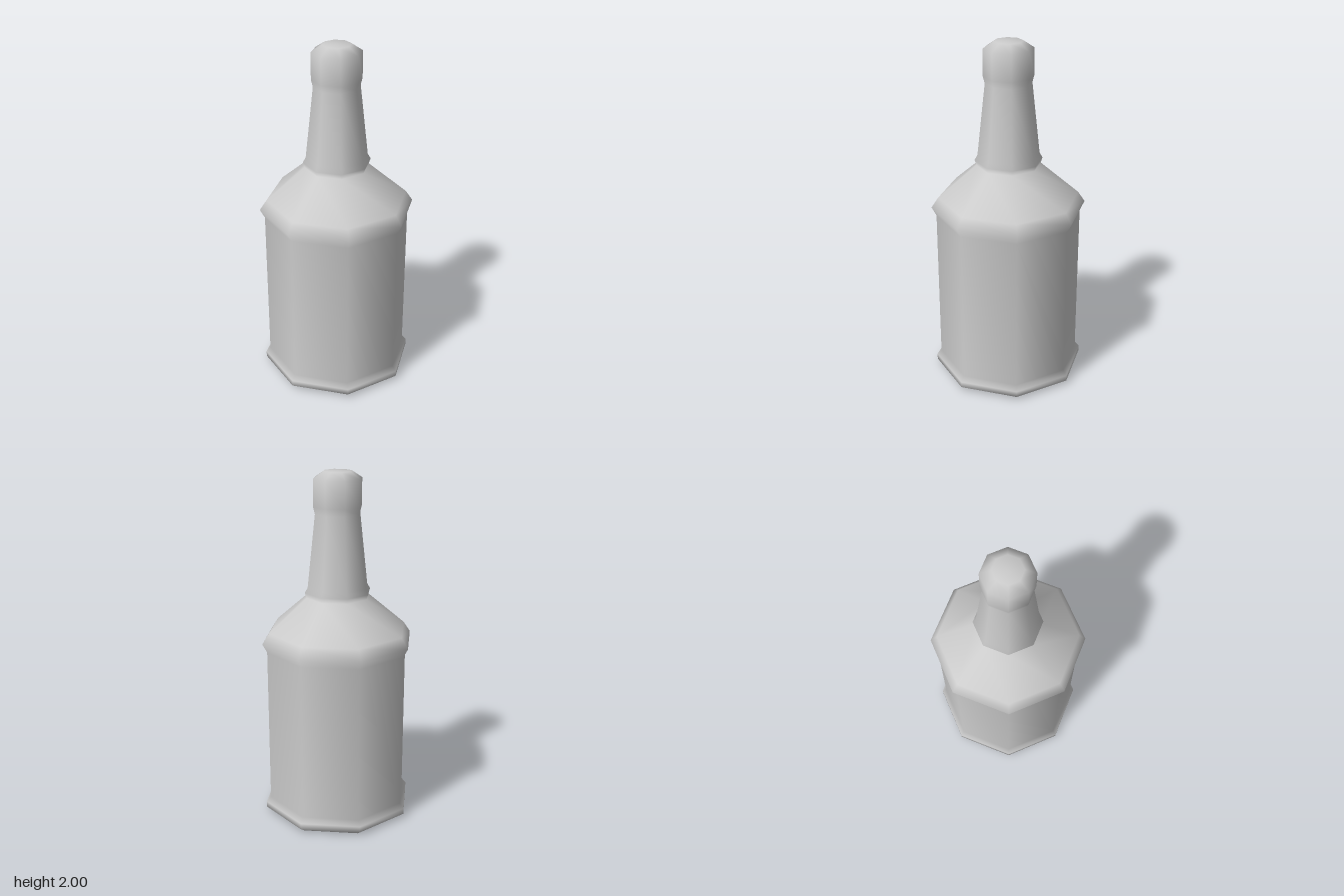
import * as THREE from 'three';

// Bottle outline as [radius, height], from the centre of the base to the top
const PROFILE = [
  [0, 0], [0.405, 0], [0.44, 0.025], [0.44, 0.06], [0.415, 0.09],   // base and foot rim
  [0.415, 1.0], [0.442, 1.05], [0.402, 1.11],                       // straight body, shoulder rim
  [0.182, 1.3], [0.192, 1.33], [0.175, 1.36],                       // sloped shoulder, neck ring
  [0.13, 1.77], [0.14, 1.81], [0.14, 1.96], [0.08, 2.0], [0, 2.0],  // tapered neck, cap
];

export function createModel() {
  const group = new THREE.Group();
  group.name = 'bottle';

  // Eight-sided, smooth-shaded turned surface with corners on the x and z axes
  const points = PROFILE.map(([r, y]) => new THREE.Vector2(r, y));
  const bottle = new THREE.Mesh(
    new THREE.LatheGeometry(points, 8),
    new THREE.MeshStandardMaterial({ color: 0xcccccc }),
  );
  bottle.name = 'bottleBody';
  group.add(bottle);

  return group;
}
